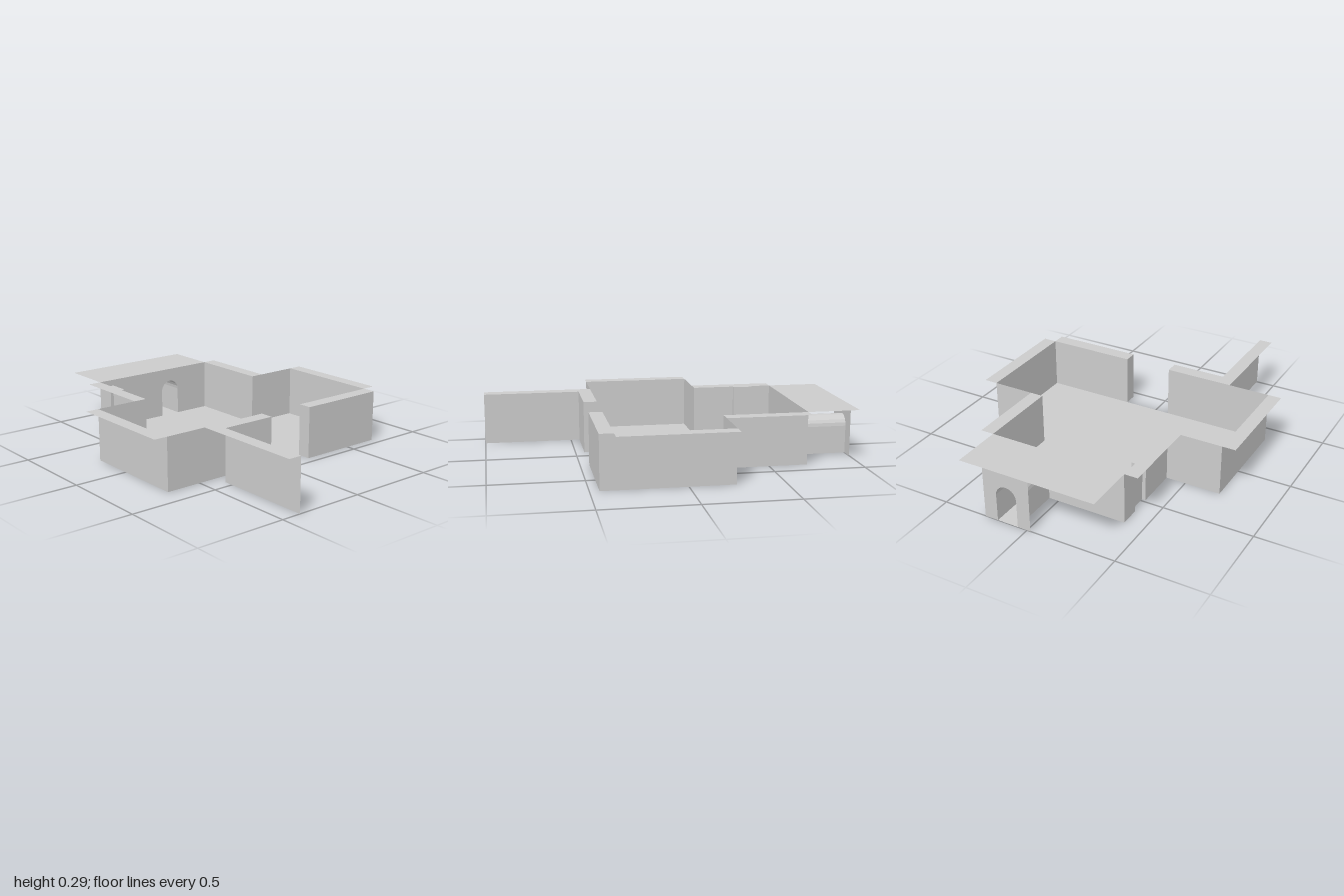
import * as THREE from 'three';

const H = 0.29; // wall height
const material = new THREE.MeshStandardMaterial({ color: 0xcccccc, side: THREE.DoubleSide });

function addMesh(group, name, geometry) {
  const mesh = new THREE.Mesh(geometry, material);
  mesh.name = name;
  group.add(mesh);
  return mesh;
}

// Flat-faced strip joining two matching rows of points
function strip(rowA, rowB) {
  const pos = [];
  for (let i = 0; i < rowA.length - 1; i++) {
    const [a, b, c, d] = [rowA[i], rowA[i + 1], rowB[i + 1], rowB[i]];
    pos.push(...a, ...b, ...c, ...a, ...c, ...d);
  }
  const g = new THREE.BufferGeometry();
  g.setAttribute('position', new THREE.Float32BufferAttribute(pos, 3));
  g.computeVertexNormals();
  return g;
}

// Upright thin wall following a plan path of [x, z] points
const wall = (path) => strip(path.map(([x, z]) => [x, 0, z]), path.map(([x, z]) => [x, H, z]));

// Horizontal plate from a plan outline of [x, z] points, facing up
function plate(outline, y) {
  const shape = new THREE.Shape(outline.map(([x, z]) => new THREE.Vector2(x, -z)));
  return new THREE.ShapeGeometry(shape).rotateX(-Math.PI / 2).translate(0, y, 0);
}
const rect = (x0, x1, z0, z1) => [[x0, z0], [x0, z1], [x1, z1], [x1, z0]];

// Arch outline from one foot over the crown to the other foot
function archPoints(cx, r, spring) {
  const pts = [[cx + r, 0]];
  for (let i = 0; i <= 10; i++) {
    const a = (i / 10) * Math.PI;
    pts.push([cx + r * Math.cos(a), spring + r * Math.sin(a)]);
  }
  pts.push([cx - r, 0]);
  return pts;
}

// Upright panel with an arched doorway open at the bottom
function archPanel(x0, x1, z, arch) {
  const pts = [[x0, 0], [x0, H], [x1, H], [x1, 0], ...arch];
  const shape = new THREE.Shape(pts.map(([x, y]) => new THREE.Vector2(x, y)));
  return new THREE.ShapeGeometry(shape).translate(0, 0, z);
}

export function createModel() {
  const group = new THREE.Group();
  group.name = 'room';

  const W = 0.7, N = 0.39;                               // half widths: hall and back bay
  const front = 0.375, outer = 0.45, mid = -0.245, back = -0.71;
  const doorL = -0.08, doorR = 0.195;                    // front doorway sides
  const notch = [[-N, -0.6], [-0.37, -0.6], [-0.37, -0.485], [-N, -0.485]];

  // Floor, running on beneath the thick front wall
  addMesh(group, 'floor', plate([
    [-W, front], [doorR, front], [doorR, outer], [W, outer], [W, mid], [N, mid],
    [N, back], [-N, back], ...notch, [-N, mid], [-W, mid],
  ], 0));

  // Side walls; one bay side steps inward as a pilaster
  addMesh(group, 'leftWalls', wall([[N, back], [N, mid], [W, mid], [W, outer]]));
  addMesh(group, 'rightWalls', wall([[-N, back], ...notch, [-N, mid], [-W, mid], [-W, front]]));

  // Front walls with returns at the doorway
  addMesh(group, 'frontWallLeft', wall([[W, front], [doorR, front], [doorR, outer], [W, outer]]));
  addMesh(group, 'frontWallRight', wall([[-W, front], [doorL, front], [doorL, outer], [-N, outer], [-N, 1]]));

  // Back wall, arched passage and its far panel
  const arch = archPoints(0.115, 0.06, 0.155);
  addMesh(group, 'backWall', archPanel(-N, N, back, arch));
  addMesh(group, 'passagePanel', archPanel(-0.02, 0.25, -1, arch));
  addMesh(group, 'passageVault', strip(arch.map(([x, y]) => [x, y, back]), arch.map(([x, y]) => [x, y, -1])));
  addMesh(group, 'passageFloor', plate(rect(0.055, 0.175, -1, back), 0));

  // Ledges along the wall tops
  for (const [side, s] of [['left', 1], ['right', -1]]) {
    const [a, b] = [s * W, s * 0.775].sort((p, q) => p - q);
    addMesh(group, side + 'HallLedge', plate(rect(a, b, mid, front), H));
  }
  addMesh(group, 'leftBayLedge', plate(rect(N, 0.465, back, mid), H));
  addMesh(group, 'rightBayLedge', plate([[-0.465, back], [-0.465, mid], [-N, mid], ...[...notch].reverse(), [-N, back]], H));
  addMesh(group, 'backLedge', plate(rect(-N, N, -1, back), H));
  addMesh(group, 'frontLedgeLeft', plate(rect(doorR, W, front, outer), H));
  addMesh(group, 'frontLedgeRight', plate(rect(-N, doorL, front, outer), H));
  addMesh(group, 'outerWallLedge', plate(rect(-0.465, -N, front, 1), H));

  return group;
}
